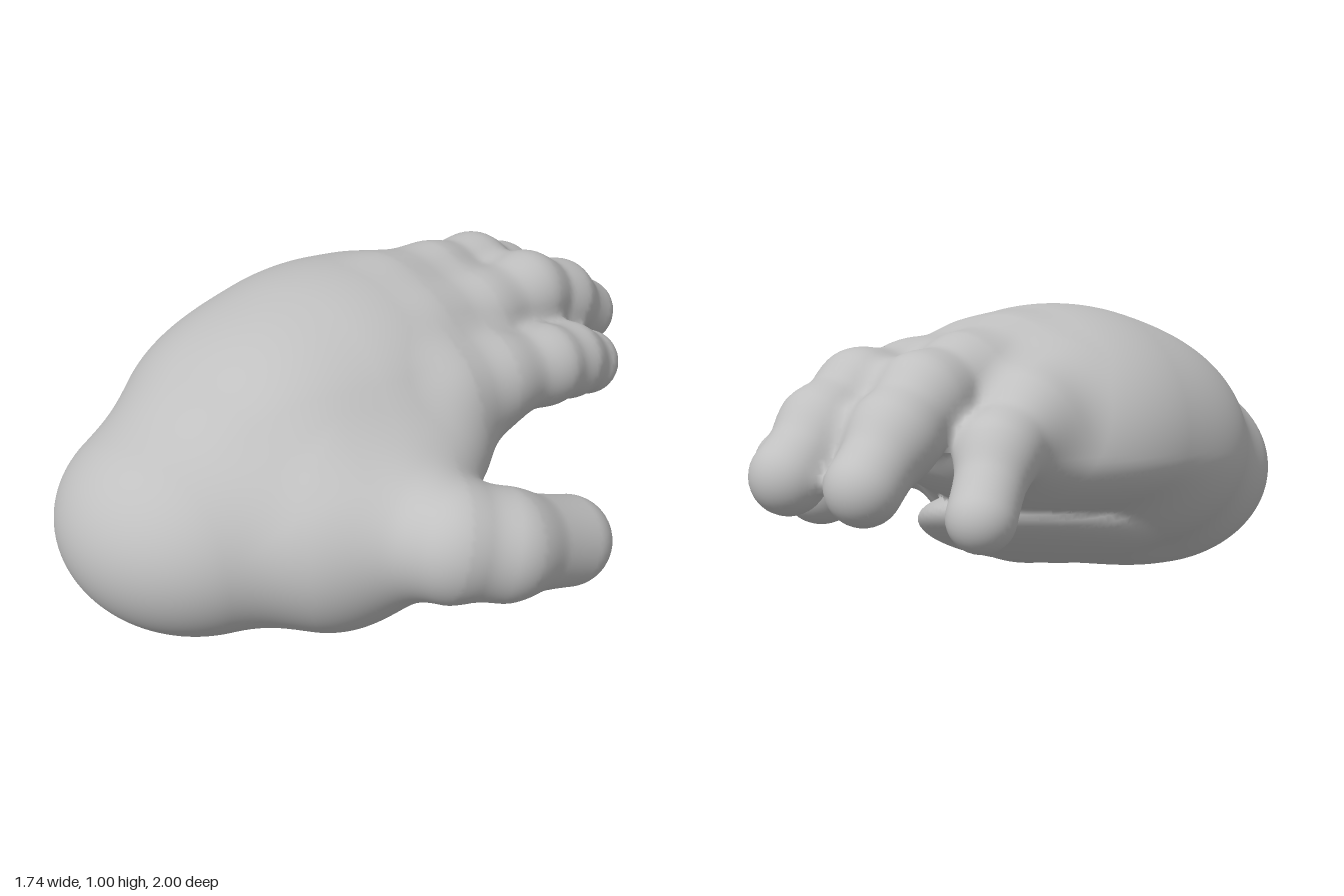
import * as THREE from 'three';

const V = (x, y, z) => new THREE.Vector3(x, y, z);

// Soft flesh masses: centre, radii (the last is the underside's), yaw and pitch
function mass(centre, [a, up, d, down = up], yaw = 0, pitch = 0) {
  const c = V(...centre), q = V();
  const turn = new THREE.Quaternion().setFromEuler(new THREE.Euler(pitch, yaw, 0, 'YXZ')).invert();
  return (p) => {
    q.copy(p).sub(c).applyQuaternion(turn);
    const b = q.y > 0 ? up : down;
    const k0 = Math.hypot(q.x / a, q.y / b, q.z / d);
    const k1 = Math.hypot(q.x / (a * a), q.y / (b * b), q.z / (d * d));
    return k1 < 1e-6 ? -Math.min(a, b, d) : (k0 * (k0 - 1)) / k1;
  };
}

// Digits: a chain of tapered capsules through joints [x, y, z, radius]
function digit(joints) {
  const pts = joints.map((j) => V(j[0], j[1], j[2]));
  const d = V(), w = V();
  return (p) => {
    let best = 9;
    for (let i = 0; i < pts.length - 1; i++) {
      d.copy(pts[i + 1]).sub(pts[i]);
      w.copy(p).sub(pts[i]);
      const t = Math.min(1, Math.max(0, w.dot(d) / d.lengthSq()));
      const r = joints[i][3] * (1 - t) + joints[i + 1][3] * t - 0.006 * Math.sin(Math.PI * t);
      best = blend(best, w.addScaledVector(d, -t).length() - r, 0.04);
    }
    return best;
  };
}

// Smooth union of two distances
function blend(a, b, k) {
  const h = Math.max(k - Math.abs(a - b), 0) / k;
  return Math.min(a, b) - h * h * k * 0.25;
}

const wrist = mass([-0.42, 0.355, 0.58], [0.45, 0.355, 0.42]);
const backOfHand = mass([-0.16, 0.54, 0.08], [0.55, 0.455, 0.66, 0.25], -0.44, 0.1);
const domeCap = mass([-0.2, 0.575, 0.27], [0.42, 0.365, 0.47], 0, 0.18);
const outerHeel = mass([-0.41, 0.48, 0.25], [0.385, 0.36, 0.41, 0.33]);
const thumbHeel = mass([0.0, 0.37, 0.47], [0.36, 0.36, 0.38]);
const thumbWeb = mass([0.22, 0.52, 0.24], [0.225, 0.2, 0.3]);
const palmPad = mass([-0.1, 0.225, 0.12], [0.42, 0.125, 0.49], 0, 0.32);
const thumb = digit([[0.1, 0.42, 0.5, 0.24], [0.43, 0.445, 0.585, 0.188],
  [0.57, 0.41, 0.51, 0.17], [0.72, 0.31, 0.285, 0.147]]);
const fingers = [
  digit([[0.26, 0.66, 0.1, 0.17], [0.37, 0.65, -0.06, 0.155], [0.51, 0.63, -0.25, 0.13], [0.565, 0.595, -0.37, 0.123], [0.61, 0.54, -0.48, 0.112]]),
  digit([[0.12, 0.75, -0.08, 0.17], [0.25, 0.75, -0.28, 0.16], [0.375, 0.762, -0.49, 0.142], [0.455, 0.68, -0.65, 0.135], [0.52, 0.57, -0.805, 0.118]]),
  digit([[-0.02, 0.79, -0.18, 0.17], [0.075, 0.79, -0.38, 0.155], [0.165, 0.765, -0.57, 0.145], [0.22, 0.68, -0.73, 0.135], [0.275, 0.56, -0.885, 0.116]]),
  digit([[-0.15, 0.7, -0.26, 0.18], [-0.13, 0.69, -0.45, 0.15], [-0.075, 0.625, -0.64, 0.122], [-0.055, 0.465, -0.81, 0.106]]),
];

const names = ['wrist', 'palm', 'thumb', 'indexFinger', 'middleFinger', 'ringFinger', 'littleFinger'];

function palm(p) {
  const back = blend(blend(backOfHand(p), outerHeel(p), 0.12), domeCap(p), 0.04);
  const heel = blend(thumbHeel(p), thumbWeb(p), 0.12);
  return blend(blend(back, heel, 0.1), palmPad(p), 0.025);
}

function hand(p) {
  const body = blend(blend(palm(p), wrist(p), 0.11), thumb(p), 0.13);
  let f = 9;
  for (const finger of fingers) f = blend(f, finger(p), 0.06);
  return blend(body, f, 0.1);
}

function partAt(p) {
  const d = [wrist(p), palm(p), thumb(p), ...fingers.map((f) => f(p))];
  return d.indexOf(Math.min(...d));
}

function slope(p) {
  const e = 0.004, q = V(), g = V();
  for (const a of ['x', 'y', 'z']) {
    q.copy(p)[a] += e;
    const up = hand(q);
    q[a] -= 2 * e;
    g[a] = (up - hand(q)) / (2 * e);
  }
  return g;
}

// Skin the joined masses with one even quad net
function skin() {
  const s = 0.02, lo = V(-0.97, -0.1, -1.1);
  const n = [98, 62, 110], step = [1, n[0], n[0] * n[1]];
  const field = new Float32Array(n[0] * n[1] * n[2]);
  const p = V();
  const at = (i, j, k) => p.set(i, j, k).multiplyScalar(s).add(lo);
  let id = 0;
  for (let k = 0; k < n[2]; k++)
    for (let j = 0; j < n[1]; j++)
      for (let i = 0; i < n[0]; i++) field[id++] = hand(at(i, j, k));

  const verts = [], cell = new Map(), quads = [];
  for (let k = 0; k < n[2] - 1; k++)
    for (let j = 0; j < n[1] - 1; j++)
      for (let i = 0; i < n[0] - 1; i++) {
        const c = i + j * step[1] + k * step[2];
        let inside = 0;
        for (let m = 0; m < 8; m++)
          if (field[c + (m & 1) + ((m >> 1) & 1) * step[1] + (m >> 2) * step[2]] < 0) inside++;
        if (inside === 0 || inside === 8) continue;
        // Slide the cell centre onto the surface
        const v = at(i + 0.5, j + 0.5, k + 0.5).clone();
        for (let r = 0; r < 3; r++) {
          const g = slope(v), l = Math.max(g.lengthSq(), 0.4);
          v.addScaledVector(g, THREE.MathUtils.clamp(-hand(v) / l, -s / 2, s / 2));
        }
        cell.set(c, verts.length);
        verts.push({ p: v, n: slope(v).normalize(), part: partAt(v) });
        // Join neighbouring cells across each edge that crosses the surface
        const ijk = [i, j, k];
        for (let a = 0; a < 3; a++) {
          const b = (a + 1) % 3, d = (a + 2) % 3;
          if (!ijk[b] || !ijk[d] || (field[c] < 0) === (field[c + step[a]] < 0)) continue;
          const q = [c, c - step[b], c - step[b] - step[d], c - step[d]].map((x) => cell.get(x));
          quads.push(field[c] < 0 ? q : q.reverse());
        }
      }
  return { verts, quads };
}

export function createModel() {
  const group = new THREE.Group();
  group.name = 'hand';
  const grey = new THREE.MeshStandardMaterial({ color: 0xc0c0c0 });
  grey.name = 'grey';

  const { verts, quads } = skin();
  // Split the skin into named parts that share their seam normals
  names.forEach((name, part) => {
    const index = [], pos = [], nor = [], local = new Map();
    const use = (i) => {
      if (!local.has(i)) {
        local.set(i, local.size);
        pos.push(...verts[i].p.toArray());
        nor.push(...verts[i].n.toArray());
      }
      return local.get(i);
    };
    for (const q of quads) {
      if (verts[q[0]].part !== part) continue;
      const [a, b, c, d] = q.map(use);
      index.push(a, b, c, a, c, d);
    }
    const geo = new THREE.BufferGeometry();
    geo.setAttribute('position', new THREE.Float32BufferAttribute(pos, 3));
    geo.setAttribute('normal', new THREE.Float32BufferAttribute(nor, 3));
    geo.setIndex(index);
    const mesh = new THREE.Mesh(geo, grey);
    mesh.name = name;
    group.add(mesh);
  });
  return group;
}
